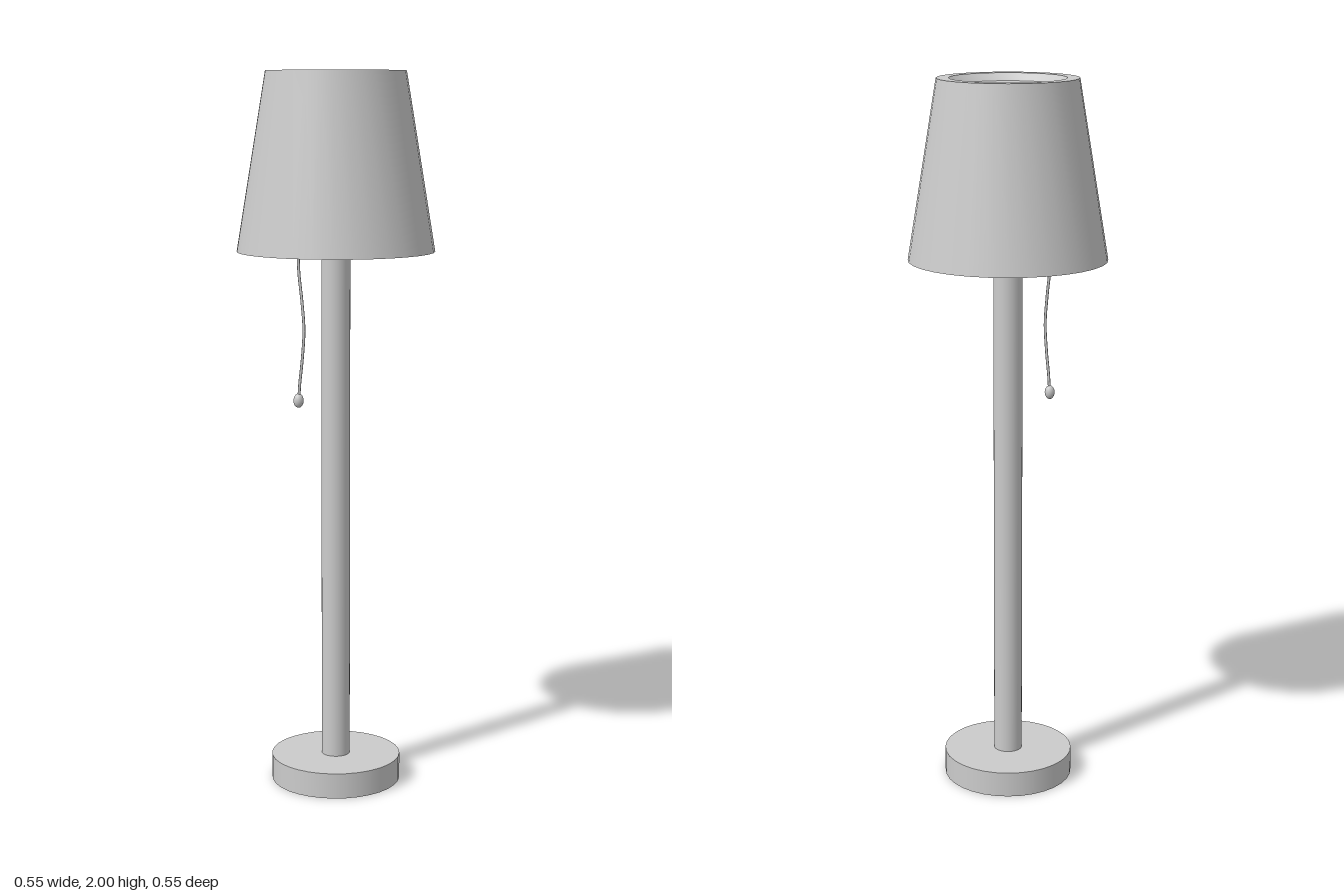
import * as THREE from 'three';
import { toCreasedNormals } from 'three/addons/utils/BufferGeometryUtils.js';

const SIDES = 32;

export function createModel() {
  const lamp = new THREE.Group();
  lamp.name = 'floorLamp';
  const material = new THREE.MeshStandardMaterial({ color: 0xcccccc });

  const add = (name, geometry, x = 0, y = 0, z = 0) => {
    const mesh = new THREE.Mesh(geometry, material);
    mesh.name = name;
    mesh.position.set(x, y, z);
    lamp.add(mesh);
    return mesh;
  };

  // Round base and straight pole reaching up into the shade
  add('base', new THREE.CylinderGeometry(0.183, 0.183, 0.072, SIDES), 0, 0.036, 0);
  add('pole', new THREE.CylinderGeometry(0.04, 0.04, 1.9, SIDES), 0, 1.02, 0);

  // Hollow tapered shade: ceiling, inner wall, lower lip, outer wall, top rim, recessed cap
  const profile = [
    [0, 1.96], [0.17, 1.96], [0.248, 1.512], [0.273, 1.512],
    [0.192, 2], [0.158, 2], [0.139, 1.98], [0, 1.98],
  ].map(([r, y]) => new THREE.Vector2(r, y));
  add('shade', toCreasedNormals(new THREE.LatheGeometry(profile, SIDES), 0.5));

  // Slightly wavy pull cord hanging in front of the pole
  const cordPath = new THREE.CatmullRomCurve3([
    [-0.014, 1.58], [-0.013, 1.47], [-0.003, 1.39], [0.004, 1.31],
    [-0.002, 1.23], [-0.011, 1.16], [-0.014, 1.12],
  ].map(([x, y]) => new THREE.Vector3(x, y, 0.152)));
  add('pullCord', new THREE.TubeGeometry(cordPath, 32, 0.004, 8));

  // Egg-shaped knob at the end of the cord
  const knob = add('cordKnob', new THREE.SphereGeometry(0.014, 16, 12), -0.015, 1.115, 0.152);
  knob.scale.y = 1.4;

  return lamp;
}
